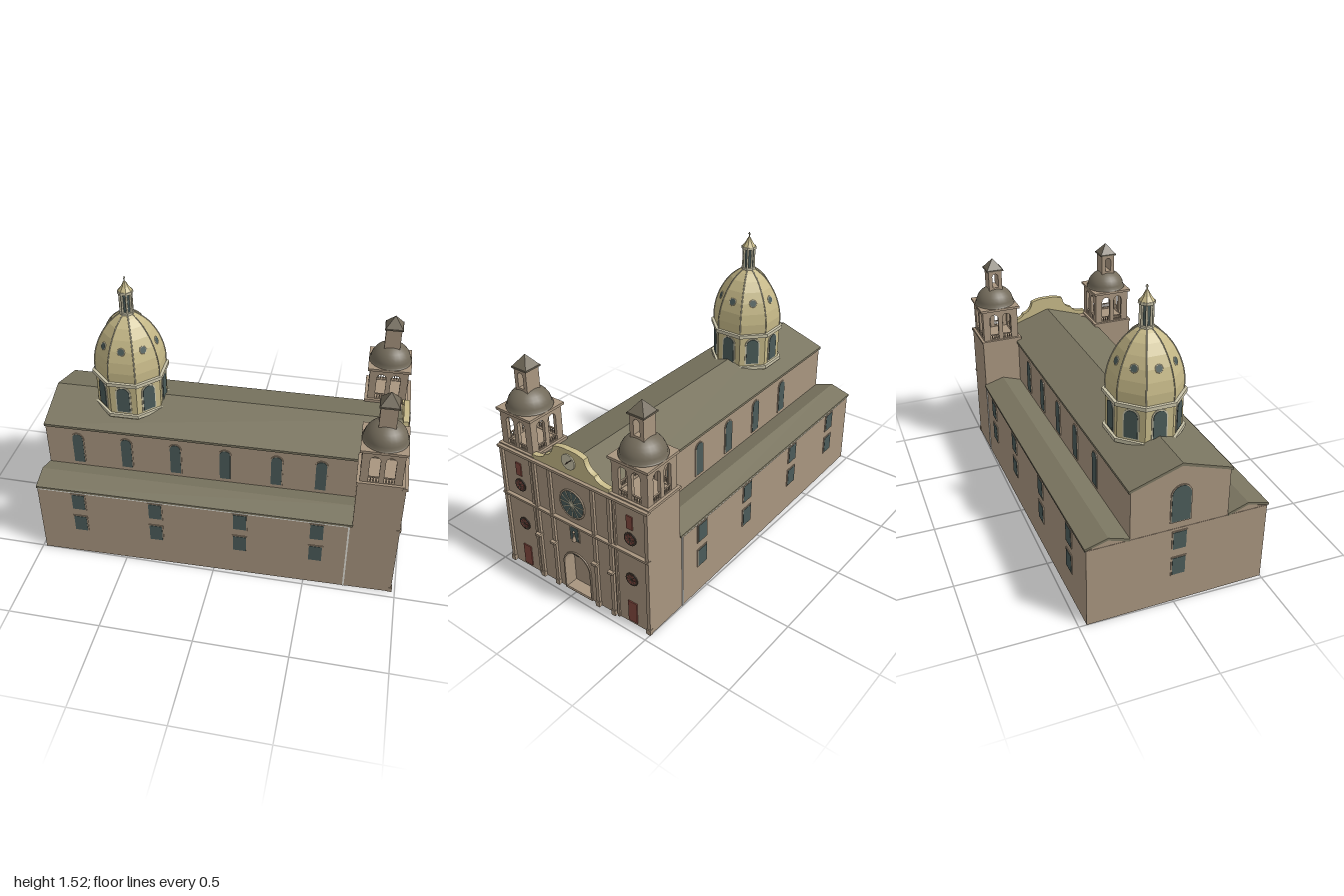
import * as THREE from 'three';

const mat = (name, color) => Object.assign(new THREE.MeshStandardMaterial({ color }), { name });

export function createModel() {
  const M = {
    wall: mat('stone wall', 0xa8957f), roof: mat('roof tiles', 0x7a7560),
    cap: mat('tower cap', 0x726a5a), cream: mat('cream plaster', 0xc6b988),
    trim: mat('pale trim', 0xc9c3a8), glass: mat('window glass', 0x4b5b59),
    red: mat('red wood', 0x83493f), dark: mat('dark ring', 0x43372f),
    gutter: mat('gutter', 0xe4e2da),
  };
  const root = new THREE.Group();
  root.name = 'church';

  // ---------- helpers ----------
  const add = (parent, name, geo, m, x = 0, y = 0, z = 0) => {
    const mesh = new THREE.Mesh(geo, m);
    mesh.name = name;
    mesh.position.set(x, y, z);
    parent.add(mesh);
    return mesh;
  };
  const box = (parent, name, m, w, h, d, x, y, z) =>
    add(parent, name, new THREE.BoxGeometry(w, h, d), m, x, y, z);
  const group = (parent, name, x = 0, y = 0, z = 0) => {
    const g = new THREE.Group();
    g.name = name;
    g.position.set(x, y, z);
    parent.add(g);
    return g;
  };
  const flat = (geo) => {
    const g = geo.toNonIndexed();
    g.computeVertexNormals();
    return g;
  };
  const poly = (pts) => new THREE.Shape(pts.map((p) => new THREE.Vector2(p[0], p[1])));
  const rect = (w, h, u = 0, y = 0) => poly([[u - w / 2, y], [u + w / 2, y], [u + w / 2, y + h], [u - w / 2, y + h]]);
  // round-headed outline standing on y
  const arch = (w, h, u = 0, y = 0, C = THREE.Shape) => {
    const s = new C(), r = w / 2;
    s.moveTo(u - r, y);
    s.lineTo(u + r, y);
    s.lineTo(u + r, y + h - r);
    s.absarc(u, y + h - r, r, 0, Math.PI, false);
    s.lineTo(u - r, y);
    return s;
  };
  const disc = (r) => { const s = new THREE.Shape(); s.absarc(0, 0, r, 0, Math.PI * 2); return s; };
  const extrude = (shape, depth, seg = 8) =>
    new THREE.ExtrudeGeometry(shape, { depth, bevelEnabled: false, curveSegments: seg });
  // section in (-z, y) swept along x
  const alongX = (parent, name, shape, m, x0, x1) =>
    add(parent, name, extrude(shape, x1 - x0).rotateY(Math.PI / 2), m, x0);
  // wall side: a group whose +z points outwards
  const side = (parent, name, angle) => { const g = group(parent, name); g.rotation.y = angle; return g; };
  const plate = (parent, name, shape, m, u, y, dist, t = 0.006) =>
    add(parent, name, extrude(shape, t), m, u, y, dist);
  const framed = (parent, name, make, w, h, u, y, dist) => {
    plate(parent, name + 'Frame', make(w + 0.012, h + 0.012), M.wall, u, y - 0.006, dist, 0.004);
    plate(parent, name, make(w, h), M.glass, u, y, dist, 0.006);
  };
  const FRONT = Math.PI / 2, BACK = -Math.PI / 2;

  // ---------- nave and aisles ----------
  const nave = group(root, 'nave');
  box(nave, 'aisleBody', M.wall, 1.715, 0.445, 0.96, -0.1325, 0.2225, 0);
  alongX(nave, 'naveBody', poly([[-0.26, 0], [0.26, 0], [0.26, 0.72], [0, 0.805], [-0.26, 0.72]]), M.wall, -0.988, 0.89);
  alongX(nave, 'naveRoof', poly([[-0.27, 0.708], [0, 0.797], [0.27, 0.708], [0.27, 0.722], [0, 0.812], [-0.27, 0.722]]), M.roof, -0.992, 0.945);
  for (const s of [-1, 1]) {
    const pts = (a) => poly(a.map(([u, y]) => [u * s, y]));
    alongX(nave, 'aisleGable', pts([[0.26, 0.44], [0.48, 0.44], [0.37, 0.48]]), M.wall, -0.988, 0.725);
    alongX(nave, 'aisleRoof', pts([[0.26, 0.44], [0.37, 0.478], [0.488, 0.446], [0.488, 0.458], [0.37, 0.492], [0.26, 0.455]]), M.roof, -0.992, 0.728);
    box(nave, 'gutter', M.gutter, 1.69, 0.009, 0.006, -0.14, 0.442, s * 0.482);
    box(nave, 'downspout', M.gutter, 0.009, 0.44, 0.006, 0.71, 0.222, s * 0.482);

    const wallSide = side(nave, s > 0 ? 'leftWindows' : 'rightWindows', s > 0 ? 0 : Math.PI);
    const tall = s > 0 ? [-0.81, -0.535, -0.26, 0.015, 0.295, 0.535] : [-0.55, -0.27, 0, 0.27, 0.52];
    for (const x of tall) framed(wallSide, 'archedWindow', arch, 0.058, 0.19, s * x, 0.48, 0.26);
    for (const x of [-0.76, -0.33, 0.135, 0.545])
      for (const y of [0.17, 0.325]) framed(wallSide, 'squareWindow', rect, 0.07, 0.1, s * x, y, 0.48);
  }
  const rear = side(nave, 'rearWindows', BACK);
  framed(rear, 'archedWindow', arch, 0.1, 0.2, 0, 0.49, 0.99);
  for (const y of [0.17, 0.325]) framed(rear, 'squareWindow', rect, 0.07, 0.1, 0, y, 0.99);

  // ---------- octagonal dome ----------
  const dome = group(root, 'dome', -0.555, 0, 0);
  const K = 1 / Math.cos(Math.PI / 8);
  const octagon = (name, m, pts) =>
    add(dome, name, flat(new THREE.LatheGeometry(pts.map(([r, y]) => new THREE.Vector2(r * K, y)), 8, Math.PI / 8)), m);
  const ring = (name, r, y0, y1) => octagon(name, M.trim, [[0, y0], [r, y0], [r, y1], [0, y1]]);
  octagon('drum', M.cream, [[0.178, 0.73], [0.178, 0.98]]);
  ring('drumBase', 0.192, 0.765, 0.785);
  ring('drumCornice', 0.194, 0.965, 0.985);
  const profile = [[0.178, 0.98], [0.179, 1.04], [0.17, 1.1], [0.152, 1.16], [0.126, 1.215], [0.092, 1.265], [0.055, 1.3], [0.034, 1.315], [0, 1.316]];
  octagon('domeShell', M.cream, profile);
  const ribCurve = new THREE.CatmullRomCurve3(profile.slice(0, 8).map(([r, y]) => new THREE.Vector3(0, y, r * K)));
  for (let i = 0; i < 8; i++) {
    const a = i * Math.PI / 4;
    const rib = add(dome, 'domeRib', new THREE.TubeGeometry(ribCurve, 16, 0.0035, 4), M.trim);
    rib.rotation.y = a + Math.PI / 8;
    const face = side(dome, 'domeFace', a);
    plate(face, 'drumWindowFrame', arch(0.085, 0.165), M.trim, 0, 0.793, 0.178, 0.004);
    plate(face, 'drumWindow', arch(0.07, 0.15), M.glass, 0, 0.8, 0.178, 0.007);
    const port = group(face, 'roundWindow', 0, 1.16, 0.151);
    port.rotation.x = -0.37;
    add(port, 'roundWindowFrame', new THREE.TorusGeometry(0.019, 0.004, 5, 8), M.trim);
    add(port, 'roundWindowGlass', new THREE.CircleGeometry(0.019, 8), M.glass, 0, 0, 0.003);
    // lantern columns
    add(dome, 'lanternColumn', new THREE.CylinderGeometry(0.006, 0.006, 0.12, 6), M.trim,
      Math.sin(a + Math.PI / 8) * 0.031, 1.38, Math.cos(a + Math.PI / 8) * 0.031);
  }
  ring('lanternBase', 0.037, 1.308, 1.325);
  octagon('lanternCore', M.glass, [[0.024, 1.32], [0.024, 1.44]]);
  ring('lanternCornice', 0.039, 1.432, 1.446);
  octagon('lanternRoof', M.cream, [[0.036, 1.445], [0.02, 1.468], [0.006, 1.497], [0, 1.5]]);
  box(dome, 'crossUpright', M.trim, 0.004, 0.03, 0.004, 0, 1.51, 0);
  box(dome, 'crossArm', M.trim, 0.004, 0.004, 0.016, 0, 1.515, 0);

  // ---------- facade ----------
  const facade = side(root, 'facade', FRONT);
  const D = 0.955;
  const front = rect(0.5, 0.74);
  front.holes.push(arch(0.17, 0.255, 0, 0.006, THREE.Path));
  plate(facade, 'facadeWall', front, M.wall, 0, 0, 0.89, D - 0.89);
  const surround = arch(0.186, 0.264);
  surround.holes.push(arch(0.17, 0.252, 0, 0.004, THREE.Path));
  plate(facade, 'portalSurround', surround, M.wall, 0, 0, D, 0.007);
  const quarter = poly([[0, 0], [0, 0.085]]);
  quarter.absarc(0, 0, 0.085, Math.PI / 2, Math.PI, false);
  plate(facade, 'portalLight', quarter, M.glass, 0, 0.172, 0.89);

  // curved gable with clock
  const gable = new THREE.Shape();
  gable.moveTo(-0.25, 0.74);
  gable.lineTo(0.25, 0.74);
  gable.lineTo(0.25, 0.765);
  gable.quadraticCurveTo(0.17, 0.765, 0.16, 0.8);
  gable.quadraticCurveTo(0.11, 0.81, 0.1, 0.87);
  gable.quadraticCurveTo(0.05, 0.89, 0, 0.885);
  gable.quadraticCurveTo(-0.05, 0.89, -0.1, 0.87);
  gable.quadraticCurveTo(-0.11, 0.81, -0.16, 0.8);
  gable.quadraticCurveTo(-0.17, 0.765, -0.25, 0.765);
  plate(facade, 'gable', gable, M.cream, 0, 0, 0.93, 0.03);
  plate(facade, 'clockFace', disc(0.043), M.trim, 0, 0.82, 0.96);
  [[0.034, 0.7], [0.024, -2.3]].forEach(([l, a]) => {
    const hand = group(facade, 'clockHand', 0, 0.82, 0.968);
    hand.rotation.z = a - Math.PI / 2;
    box(hand, 'hand', M.dark, 0.005, l, 0.003, 0, l / 2, 0);
  });

  // rose window and niche
  plate(facade, 'roseGlass', disc(0.08), M.glass, 0, 0.57, D);
  add(facade, 'roseRing', new THREE.TorusGeometry(0.08, 0.005, 5, 28), M.wall, 0, 0.57, D + 0.004);
  for (let i = 0; i < 6; i++)
    box(facade, 'roseSpoke', M.trim, 0.155, 0.003, 0.003, 0, 0.57, D + 0.007).rotation.z = i * Math.PI / 6;
  add(facade, 'roseHub', new THREE.CircleGeometry(0.012, 12), M.trim, 0, 0.57, D + 0.009);
  framed(facade, 'niche', arch, 0.052, 0.09, 0, 0.35, D);
  add(facade, 'nicheFigure', new THREE.ConeGeometry(0.013, 0.05, 8), M.wall, 0, 0.375, D + 0.01);
  add(facade, 'nicheFigureHead', new THREE.SphereGeometry(0.007, 8, 6), M.wall, 0, 0.402, D + 0.01);

  // pilasters and cornices
  for (const s of [-1, 1]) {
    for (const u of [0.14, 0.245, 0.47]) {
      box(facade, 'pilaster', M.wall, 0.02, 0.74, 0.016, s * u, 0.37, D + 0.006);
      box(facade, 'pilasterBase', M.wall, 0.026, 0.03, 0.022, s * u, 0.015, D + 0.008);
      if (u < 0.4) box(facade, 'pilasterBand', M.wall, 0.03, 0.014, 0.034, s * u, 0.28, D + 0.015);
    }
    box(facade, 'towerPilaster', M.wall, 0.014, 0.74, 0.01, s * 0.272, 0.37, D + 0.003);
  }
  box(facade, 'middleCornice', M.wall, 0.965, 0.012, 0.024, 0, 0.45, D + 0.008);
  box(facade, 'upperCornice', M.wall, 0.97, 0.014, 0.03, 0, 0.735, D + 0.008);

  // ---------- bell towers ----------
  for (const s of [-1, 1]) {
    const t = group(root, s > 0 ? 'leftTower' : 'rightTower', 0.84, 0, s * 0.363);
    box(t, 'towerBody', M.wall, 0.23, 0.745, 0.234, 0, 0.3725, 0);
    box(t, 'towerCornice', M.wall, 0.242, 0.014, 0.242, 0, 0.742, 0);
    for (let i = 0; i < 4; i++) {
      const f = side(t, 'belfrySide', i * Math.PI / 2);
      const w = rect(0.212, 0.195, 0, 0.745);
      for (const u of [-0.039, 0.039]) w.holes.push(arch(0.052, 0.16, u, 0.752, THREE.Path));
      plate(f, 'belfryWall', w, M.wall, 0, 0, 0.088, 0.018);
      for (const u of [-0.039, 0.039]) {
        box(f, 'balustradeRail', M.wall, 0.054, 0.005, 0.008, u, 0.78, 0.1);
        for (let k = -1; k <= 1; k++) box(f, 'baluster', M.wall, 0.005, 0.03, 0.005, u + k * 0.014, 0.765, 0.1);
      }
    }
    box(t, 'belfryCornice', M.wall, 0.236, 0.014, 0.236, 0, 0.944, 0);
    const capPts = [[0.118, 0.95], [0.118, 0.957]];
    for (let i = 0; i <= 8; i++) {
      const a = i / 8 * Math.PI / 2;
      capPts.push([0.112 * Math.cos(a), 0.957 + 0.1 * Math.sin(a)]);
    }
    add(t, 'towerDome', new THREE.LatheGeometry(capPts.map((p) => new THREE.Vector2(Math.max(p[0], 0), p[1])), 24), M.cap);
    const lantern = rect(0.08, 0.14, 0, 1.025);
    lantern.holes.push(arch(0.036, 0.085, 0, 1.06, THREE.Path));
    alongX(t, 'towerLantern', lantern, M.wall, -0.043, 0.043);
    box(t, 'lanternEave', M.cap, 0.1, 0.008, 0.1, 0, 1.166, 0);
    const spire = new THREE.ConeGeometry(0.068, 0.062, 4).rotateY(Math.PI / 4);
    add(t, 'lanternRoof', flat(spire), M.cap, 0, 1.2, 0);

    // openings on the tower front
    const u = -s * 0.363;
    plate(facade, 'sideDoor', rect(0.054, 0.125), M.red, u, 0.015, D);
    plate(facade, 'upperShutter', rect(0.036, 0.075), M.red, u, 0.59, D);
    for (const y of [0.285, 0.53]) {
      plate(facade, 'roundWindowRing', disc(0.037), M.dark, u, y, D, 0.004);
      plate(facade, 'roundWindow', disc(0.027), M.red, u, y, D, 0.006);
      for (let i = 0; i < 4; i++)
        box(facade, 'roundWindowBar', M.dark, 0.054, 0.004, 0.002, u, y, D + 0.006).rotation.z = i * Math.PI / 4;
    }
  }

  root.rotation.y = 0.021;
  const model = new THREE.Group();
  model.name = 'model';
  model.add(root);
  return model;
}
